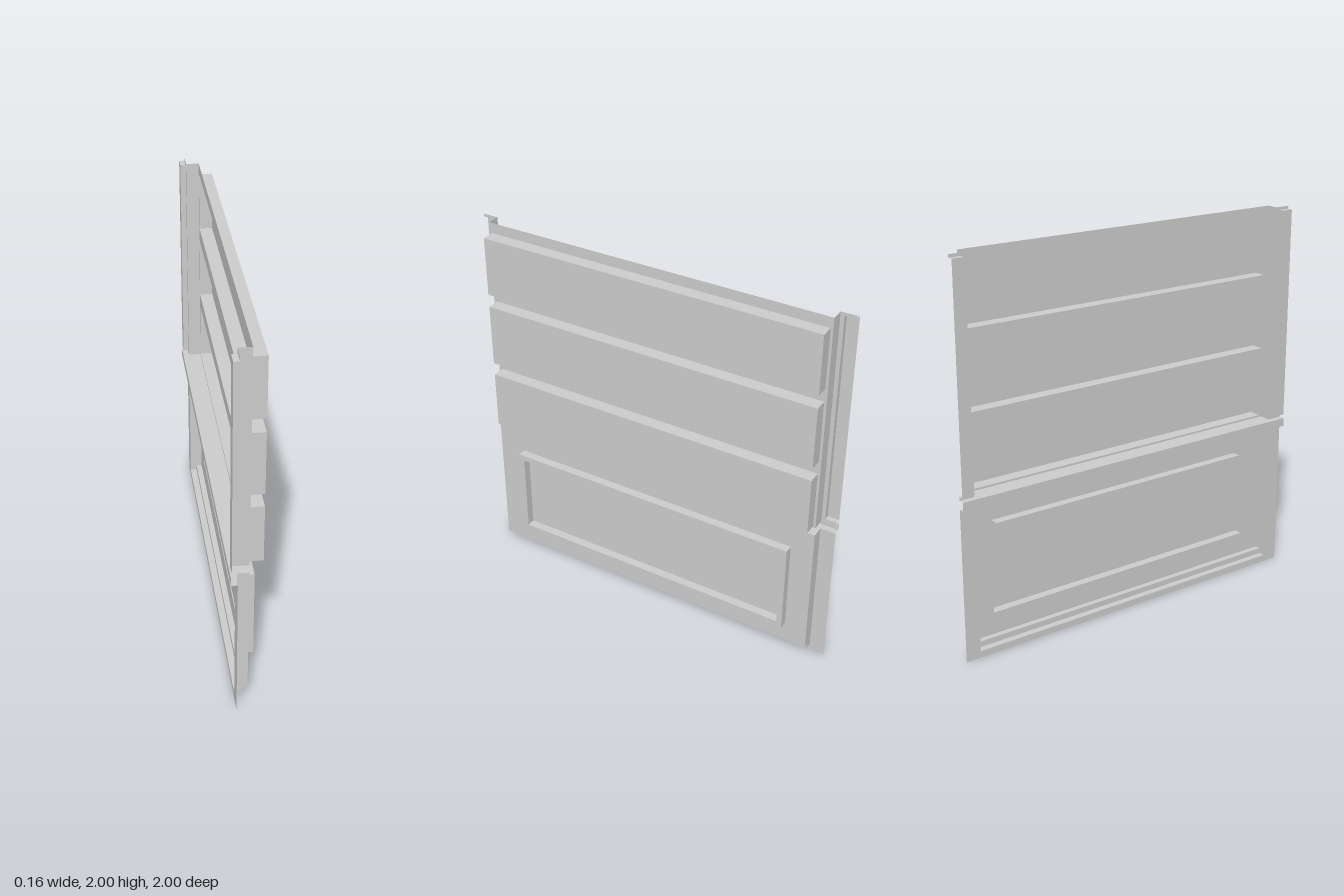
import * as THREE from 'three';
import { mergeGeometries } from 'three/addons/utils/BufferGeometryUtils.js';

const material = new THREE.MeshStandardMaterial({ color: 0xcccccc, side: THREE.DoubleSide, flatShading: true });

// Depth levels of the pressed sheet, back to front
const GROOVE = -0.082, POCKET = -0.078, BACK = -0.05, STEP = -0.015, FIELD = 0.015, RIDGE = 0.06, PLANK = 0.082;
const W = 0.92; // half width of the raised field

const rect = (z0, z1, y0, y1) => [[z0, y0], [z1, y0], [z1, y1], [z0, y1]];

// Flat sheet facing +x at depth x, outlined by [z, y] points
function sheet(x, outline, holes = []) {
  const points = (list) => list.map(([z, y]) => new THREE.Vector2(-z, y));
  const shape = new THREE.Shape(points(outline));
  for (const hole of holes) shape.holes.push(new THREE.Path(points(hole)));
  return new THREE.ShapeGeometry(shape).rotateY(Math.PI / 2).translate(x, 0, 0);
}

// Horizontal wall at height y, facing up or down
function shelf(y, x0, x1, z0, z1, up) {
  return new THREE.PlaneGeometry(x1 - x0, z1 - z0).rotateX(up ? -Math.PI / 2 : Math.PI / 2)
    .translate((x0 + x1) / 2, y, (z0 + z1) / 2);
}

// Upright wall at z, facing +z or -z
function cheek(z, x0, x1, y0, y1, sign) {
  return new THREE.PlaneGeometry(x1 - x0, y1 - y0).rotateY(sign > 0 ? 0 : Math.PI)
    .translate((x0 + x1) / 2, (y0 + y1) / 2, z);
}

// Four walls around a rectangle; inward turns them to face its middle
function rim(x0, x1, hz, y0, y1, inward = false) {
  return [
    shelf(y0, x0, x1, -hz, hz, inward), shelf(y1, x0, x1, -hz, hz, !inward),
    cheek(hz, x0, x1, y0, y1, inward ? -1 : 1), cheek(-hz, x0, x1, y0, y1, inward ? 1 : -1),
  ];
}

export function createModel() {
  const group = new THREE.Group();
  const add = (name, parts) => {
    const mesh = new THREE.Mesh(mergeGeometries(parts), material);
    mesh.name = name;
    group.add(mesh);
  };

  // Upper field with three hollow raised planks
  const planks = [[0.855, 1.165], [1.235, 1.565], [1.635, 1.945]];
  const plankHalf = 0.907;
  add('upperField', [
    sheet(FIELD, rect(-W, W, 0.845, 2), planks.map(([a, b]) => rect(-plankHalf, plankHalf, a, b))),
    cheek(W, BACK, FIELD, 0.845, 2, 1), cheek(-W, BACK, FIELD, 0.845, 2, -1),
  ]);
  planks.forEach(([a, b], i) => add('plank' + (i + 1), [
    sheet(PLANK, rect(-plankHalf, plankHalf, a, b)),
    ...rim(FIELD, PLANK, plankHalf, a, b),
  ]));

  // Side flanges with a shallow pocket open at the outer edge
  for (const s of [1, -1]) {
    const outline = [[W, 0.845], [1, 0.845], [1, 0.865], [0.94, 0.865], [0.94, 1.985], [1, 1.985], [1, 2], [W, 2]];
    const z0 = Math.min(s * 0.94, s), z1 = Math.max(s * 0.94, s);
    add(s > 0 ? 'leftFlange' : 'rightFlange', [
      sheet(BACK, outline.map(([z, y]) => [s * z, y])),
      sheet(POCKET, rect(z0, z1, 0.865, 1.985)),
      cheek(s * 0.94, POCKET, BACK, 0.865, 1.985, s),
      shelf(0.865, POCKET, BACK, z0, z1, true),
      shelf(1.985, POCKET, BACK, z0, z1, false),
    ]);
  }

  // Deep groove between the upper and lower halves
  const groove = [sheet(GROOVE, rect(-1, 1, 0.8, 0.845))];
  for (const [y, up] of [[0.8, true], [0.845, false]]) {
    groove.push(shelf(y, GROOVE, FIELD, -W, W, up),
      shelf(y, GROOVE, BACK, W, 1, up), shelf(y, GROOVE, BACK, -1, -W, up));
  }
  add('middleGroove', groove);

  // Lower flange around three sides of the lower field
  add('lowerFlange', [sheet(BACK, [[-1, 0], [1, 0], [1, 0.8], [W, 0.8], [W, 0.035], [-W, 0.035], [-W, 0.8], [-1, 0.8]])]);

  // Lower field with a stepped bottom edge
  const ridge = rect(-0.8, 0.8, 0.18, 0.68), inner = rect(-0.77, 0.77, 0.21, 0.65);
  const lower = [
    sheet(FIELD, rect(-W, W, 0.065, 0.8), [ridge]),
    sheet(FIELD, inner),
    sheet(STEP, rect(-W, W, 0.035, 0.065)),
    shelf(0.035, BACK, STEP, -W, W, false),
    shelf(0.065, STEP, FIELD, -W, W, false),
  ];
  for (const s of [1, -1]) {
    lower.push(cheek(s * W, BACK, FIELD, 0.065, 0.8, s), cheek(s * W, BACK, STEP, 0.035, 0.065, s));
  }
  add('lowerField', lower);

  // Hollow raised frame on the lower field
  add('raisedFrame', [
    sheet(RIDGE, ridge, [inner]),
    ...rim(FIELD, RIDGE, 0.8, 0.18, 0.68),
    ...rim(FIELD, RIDGE, 0.77, 0.21, 0.65, true),
  ]);

  return group;
}
